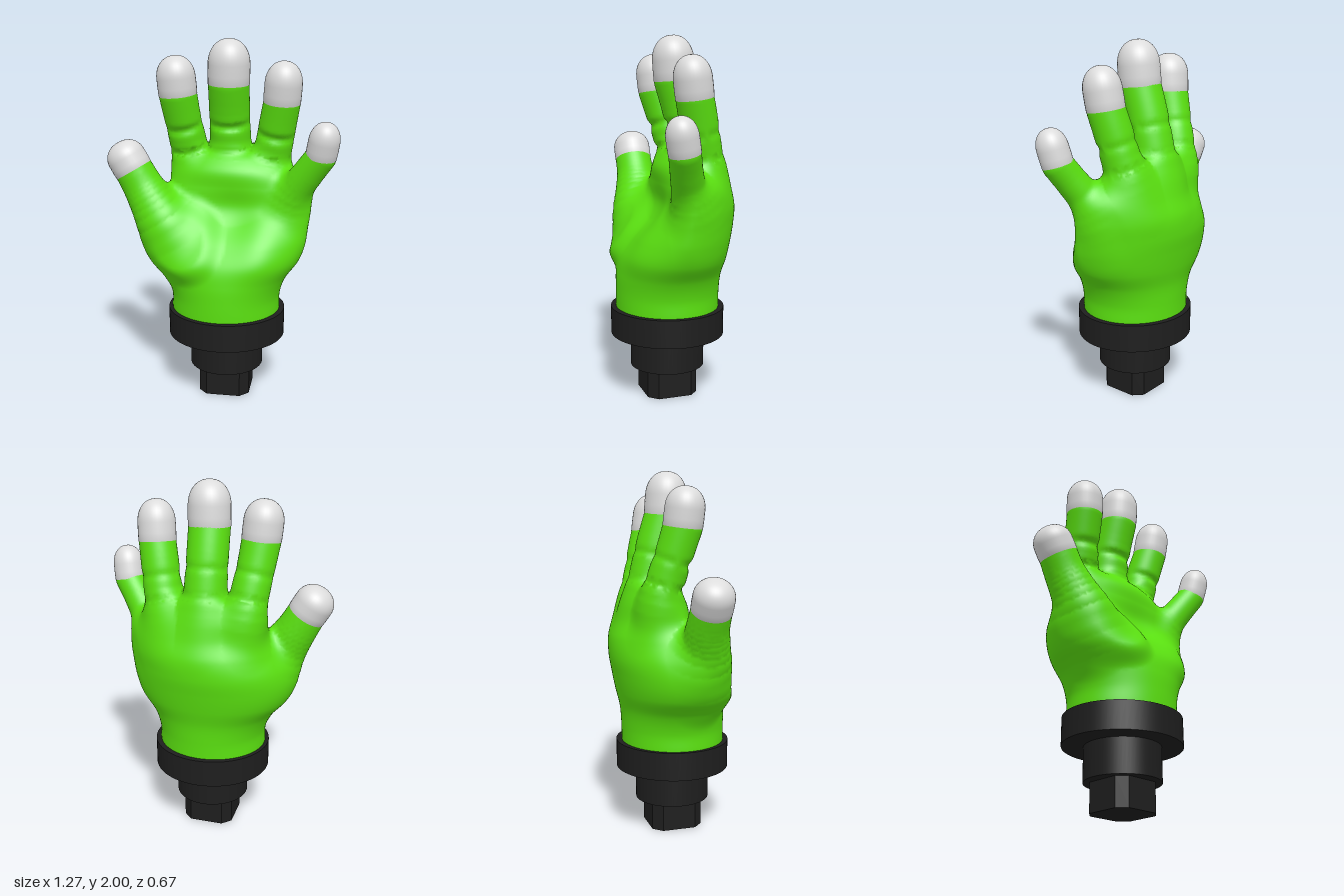
import * as THREE from 'three';

const material = (name, color) => {
  const m = new THREE.MeshStandardMaterial({ color });
  m.name = name;
  return m;
};
const curve = points => new THREE.CatmullRomCurve3(points.map(p => new THREE.Vector3(...p)), false, 'catmullrom');
const bump = (d, w) => Math.exp(-(d * d) / (w * w));
const { clamp, lerp, smoothstep } = THREE.MathUtils;

// Smooth union of two distances
const blend = (a, b, k) => {
  const h = Math.max(k - Math.abs(a - b), 0) / k;
  return Math.min(a, b) - h * h * k / 4;
};

// Fingers: path rows [x, y, z, radius], end point of the tip, heights of the joint creases
const FINGERS = [
  { name: 'indexFinger', tip: [-0.257, 1.91, 0.015], folds: [1.4, 1.53], rows: [
    [-0.16, 1.1, -0.11, 0.11], [-0.185, 1.28, -0.115, 0.112], [-0.2, 1.42, -0.085, 0.104],
    [-0.222, 1.56, -0.045, 0.101], [-0.24, 1.7, -0.005, 0.104]] },
  { name: 'middleFinger', tip: [0.042, 2.0, 0], folds: [1.4, 1.55], rows: [
    [0.035, 1.1, -0.16, 0.12], [0.035, 1.28, -0.135, 0.12], [0.035, 1.42, -0.108, 0.116],
    [0.035, 1.6, -0.068, 0.112], [0.037, 1.76, -0.02, 0.112]] },
  { name: 'ringFinger', tip: [0.342, 1.885, 0], folds: [1.36, 1.49], rows: [
    [0.2, 1.1, -0.14, 0.11], [0.25, 1.28, -0.12, 0.11], [0.28, 1.42, -0.088, 0.104],
    [0.305, 1.56, -0.058, 0.102], [0.325, 1.665, -0.032, 0.1]] },
  { name: 'littleFinger', tip: [0.578, 1.585, 0.14], folds: [], rows: [
    [0.29, 0.9, -0.05, 0.11], [0.355, 1.05, -0.02, 0.112], [0.415, 1.2, 0.03, 0.092],
    [0.485, 1.31, 0.07, 0.084], [0.547, 1.4, 0.1, 0.082]] },
  { name: 'thumb', tip: [-0.568, 1.44, 0.065], folds: [], rows: [
    [-0.19, 0.8, 0.08, 0.14], [-0.275, 0.95, 0.085, 0.165], [-0.37, 1.1, 0.08, 0.128],
    [-0.43, 1.2, 0.07, 0.112], [-0.48, 1.29, 0.07, 0.106]] },
];

// Distance to a finger: a chain of tapered capsules with creases at the joints
function fingerField({ rows, folds }) {
  const n = 14;
  const path = curve(rows).getPoints(n);
  const radii = curve(rows.map(r => [r[3], 0, 0])).getPoints(n).map(p => p.x);
  return (x, y, z) => {
    let best = Infinity, cy = 0, cz = 0;
    for (let i = 0; i < n; i++) {
      const a = path[i], b = path[i + 1];
      const dx = b.x - a.x, dy = b.y - a.y, dz = b.z - a.z;
      const t = clamp(((x - a.x) * dx + (y - a.y) * dy + (z - a.z) * dz) / (dx * dx + dy * dy + dz * dz), 0, 1);
      const ex = x - a.x - t * dx, ey = y - a.y - t * dy, ez = z - a.z - t * dz;
      const d = Math.sqrt(ex * ex + ey * ey + ez * ez) - lerp(radii[i], radii[i + 1], t);
      if (d < best) { best = d; cy = a.y + t * dy; cz = a.z + t * dz; }
    }
    const facing = clamp((z - cz) * 10, -0.3, 1);
    for (const fold of folds) best += 0.018 * Math.abs(facing) * bump(cy - fold, 0.022);
    return best;
  };
}

// Palm sections every 0.1 from y = 0.4: [centre x, centre z, half width, front depth, back depth]
const PALM = [
  [0.03, 0.02, 0.3, 0.285, 0.285],
  [0.03, 0.02, 0.306, 0.29, 0.286],
  [0.03, 0.02, 0.308, 0.29, 0.288],
  [0.027, 0.02, 0.345, 0.285, 0.295],
  [0.02, 0.022, 0.422, 0.262, 0.32],
  [0.02, 0.03, 0.456, 0.195, 0.347],
  [0.03, 0.03, 0.453, 0.13, 0.362],
  [0.06, 0.01, 0.423, 0.09, 0.335],
  [0.085, -0.02, 0.382, 0.11, 0.265],
  [0.06, -0.07, 0.325, 0.15, 0.18],
  [0.045, -0.1, 0.24, 0.1, 0.1],
];
const palmCentre = curve(PALM.map(r => [r[0], r[1], r[2]]));
const palmDepth = curve(PALM.map(r => [r[3], r[4], 0]));

function palmField(x, y, z) {
  const t = clamp((y - 0.4) / 1.0, 0, 1);
  const c = palmCentre.getPoint(t), depth = palmDepth.getPoint(t);
  const rz = z > c.y ? depth.x : depth.y;
  const u = (x - c.x) / c.z, w = (z - c.y) / rz;
  const k = Math.hypot(u, w);
  let d = k * (k - 1) / (Math.hypot(u / c.z, w / rz) + 1e-6);
  // Thumb mound, heel and the hollow between them, on the front only
  const thumbMound = 0.045 * (1 - smoothstep(Math.hypot(x + 0.2, y - 0.93), 0.13, 0.26));
  const heel = 0.03 * bump(x - 0.25, 0.14) * bump(y - 0.9, 0.16);
  const hollow = 0.04 * bump(x - 0.08, 0.13) * bump(y - 1.05, 0.1);
  d -= clamp((z - c.y) * 10, 0, 1) * (thumbMound + heel - hollow);
  return -blend(-d, 1.39 - y === 0 ? 0 : 1.39 - y, 0.04);
}

// Mesh of the surface where field = 0, one vertex for each grid cell it crosses
function skinGeometry(field, min, max, step) {
  const n = min.map((m, a) => Math.round((max[a] - m) / step) + 1);
  const stride = [1, n[0], n[0] * n[1]];
  const values = new Float32Array(n[0] * n[1] * n[2]);
  const eachPoint = (trim, visit) => {
    for (let k = 0; k < n[2] - trim; k++)
      for (let j = 0; j < n[1] - trim; j++)
        for (let i = 0; i < n[0] - trim; i++) visit([i, j, k], i + j * stride[1] + k * stride[2]);
  };
  eachPoint(0, (g, o) => { values[o] = field(...g.map((v, a) => min[a] + v * step)); });

  const slope = p => p.map((_, a) => {
    const hi = [...p], lo = [...p];
    hi[a] += 0.004;
    lo[a] -= 0.004;
    return (field(...hi) - field(...lo)) / 0.008;
  });
  const ids = new Int32Array(values.length).fill(-1);
  const position = [], normal = [], index = [];
  eachPoint(1, (g, o) => {
    // Average of the crossings on the twelve edges of the cell, then moved onto the surface
    const sum = [0, 0, 0];
    let count = 0;
    for (let corner = 0; corner < 8; corner++) for (let a = 0; a < 3; a++) {
      if (corner >> a & 1) continue;
      const at = [corner & 1, corner >> 1 & 1, corner >> 2 & 1];
      const q = o + at[0] + at[1] * stride[1] + at[2] * stride[2];
      const from = values[q], to = values[q + stride[a]];
      if (from < 0 === to < 0) continue;
      at[a] = from / (from - to);
      at.forEach((v, b) => { sum[b] += v; });
      count++;
    }
    if (!count) return;
    let p = sum.map((v, a) => min[a] + (g[a] + v / count) * step);
    const s = slope(p), f = field(...p), length = Math.hypot(...s) + 1e-6;
    p = p.map((v, a) => v - clamp(f / length, -step / 2, step / 2) * s[a] / length);
    ids[o] = position.length / 3;
    position.push(...p);
    const out = slope(p), size = Math.hypot(...out) + 1e-6;
    normal.push(...out.map(v => v / size));
    // A quad around each grid edge that passes through the surface
    for (let a = 0; a < 3; a++) {
      const u = (a + 1) % 3, v = (a + 2) % 3, inside = values[o] < 0;
      if (inside === values[o + stride[a]] < 0 || !g[u] || !g[v]) continue;
      const quad = [o, o - stride[u], o - stride[u] - stride[v], o - stride[v]].map(q => ids[q]);
      if (!inside) quad.reverse();
      index.push(quad[0], quad[1], quad[2], quad[0], quad[2], quad[3]);
    }
  });
  const geometry = new THREE.BufferGeometry();
  geometry.setAttribute('position', new THREE.Float32BufferAttribute(position, 3));
  geometry.setAttribute('normal', new THREE.Float32BufferAttribute(normal, 3));
  geometry.setIndex(index);
  return geometry;
}

export function createModel() {
  const green = material('green skin', 0x5ae010);
  const white = material('white fingertip', 0xdcdcdc);
  const black = material('black mount', 0x1e1e1e);
  const hand = new THREE.Group();
  hand.name = 'hand';
  const add = (parent, name, geometry, mat) => {
    const mesh = new THREE.Mesh(geometry, mat);
    mesh.name = name;
    parent.add(mesh);
    return mesh;
  };

  // Palm and fingers as one skin, each finger blended into the palm
  const fingers = FINGERS.map(fingerField);
  const handField = (x, y, z) => {
    const palm = palmField(x, y, z);
    return Math.min(...fingers.map(finger => blend(palm, finger(x, y, z), 0.07)));
  };
  add(hand, 'palmAndFingers', skinGeometry(handField, [-0.68, 0.46, -0.4], [0.68, 1.92, 0.38], 0.016), green);

  // Fingertips: a short sleeve with a round dome, radius 1 and height 1
  const profile = [new THREE.Vector2(0.94, -0.01), new THREE.Vector2(1.015, 0), new THREE.Vector2(1.025, 0.2)];
  for (let i = 0; i <= 12; i++) {
    const a = i / 12 * Math.PI / 2;
    profile.push(new THREE.Vector2(1.02 * Math.max(0, Math.cos(a)) ** 0.9, 0.45 + 0.55 * Math.sin(a)));
  }
  const tipGeometry = new THREE.LatheGeometry(profile, 32);
  for (const { name, tip, rows } of FINGERS) {
    const [x, y, z, radius] = rows[rows.length - 1];
    const axis = new THREE.Vector3(...tip).sub(new THREE.Vector3(x, y, z));
    const cap = add(hand, name + 'Tip', tipGeometry, white);
    cap.scale.set(radius, axis.length(), radius);
    cap.quaternion.setFromUnitVectors(new THREE.Vector3(0, 1, 0), axis.normalize());
    cap.position.set(x, y, z);
  }

  // Wrist mount: collar, neck and a square plug with cut corners
  const mount = new THREE.Group();
  mount.name = 'wristMount';
  mount.position.set(0.034, 0, 0.022);
  hand.add(mount);
  const disc = (name, radius, depth, bottom, top) => {
    const mesh = add(mount, name, new THREE.CylinderGeometry(radius, radius, top - bottom, 64), black);
    mesh.position.y = (bottom + top) / 2;
    mesh.scale.z = depth / radius;
  };
  disc('collar', 0.331, 0.318, 0.35, 0.505);
  disc('neck', 0.208, 0.208, 0.16, 0.35);
  const h = 0.144, c = 0.095;
  const plug = new THREE.ExtrudeGeometry(new THREE.Shape(
    [[h, -c], [h, c], [c, h], [-c, h], [-h, c], [-h, -c], [-c, -h], [c, -h]].map(p => new THREE.Vector2(...p))),
  { depth: 0.165, bevelEnabled: false });
  plug.rotateX(-Math.PI / 2);
  add(mount, 'plug', plug, black);

  return hand;
}
